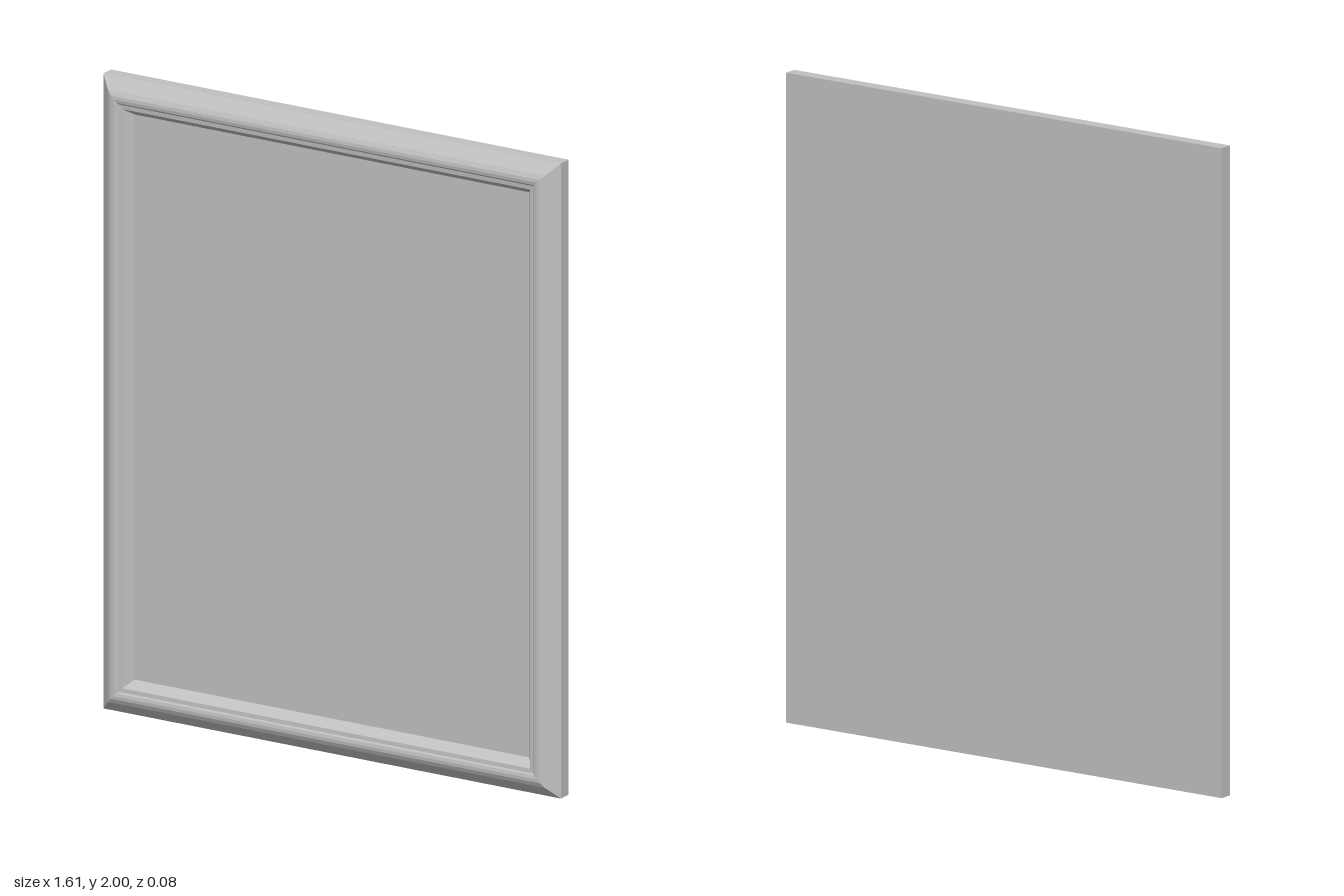
import * as THREE from 'three';

const HALF_W = 0.807, HALF_H = 1, BACK = -0.042, BASE = 0.002;

// Moulding cross-section: [inset from the outer edge, z]
const PROFILE = [
  [0, BASE], [0.036, 0.034], [0.05, 0.041], [0.06, 0.042], [0.07, 0.04],
  [0.075, 0.036], [0.088, 0.035], [0.11, BASE],
];

// Sweeps the cross-section round a rectangle with mitred corners
function mitredFrame(profile) {
  const corners = [[1, 1], [-1, 1], [-1, -1], [1, -1]];
  const point = ([inset, z], [sx, sy]) =>
    [sx * (HALF_W - inset), HALF_H + sy * (HALF_H - inset), z];
  const positions = [];
  for (let k = 0; k < profile.length - 1; k++) {
    for (let i = 0; i < 4; i++) {
      const c = corners[i], d = corners[(i + 1) % 4];
      const p = point(profile[k], c), q = point(profile[k], d);
      const r = point(profile[k + 1], d), s = point(profile[k + 1], c);
      positions.push(...p, ...q, ...r, ...p, ...r, ...s);
    }
  }
  const geometry = new THREE.BufferGeometry();
  geometry.setAttribute('position', new THREE.Float32BufferAttribute(positions, 3));
  geometry.computeVertexNormals();
  return geometry;
}

export function createModel() {
  const group = new THREE.Group();
  group.name = 'framedPanel';
  const grey = new THREE.MeshStandardMaterial({ color: 0xc0c0c0 });
  grey.name = 'plain grey';

  // Flat board: back, side edges and recessed picture surface
  const board = new THREE.Mesh(
    new THREE.BoxGeometry(HALF_W * 2, HALF_H * 2, BASE - BACK), grey);
  board.position.set(0, HALF_H, (BASE + BACK) / 2);
  board.name = 'backBoard';

  // Raised moulding on the front
  const moulding = new THREE.Mesh(mitredFrame(PROFILE), grey);
  moulding.name = 'frameMoulding';

  group.add(board, moulding);
  return group;
}
